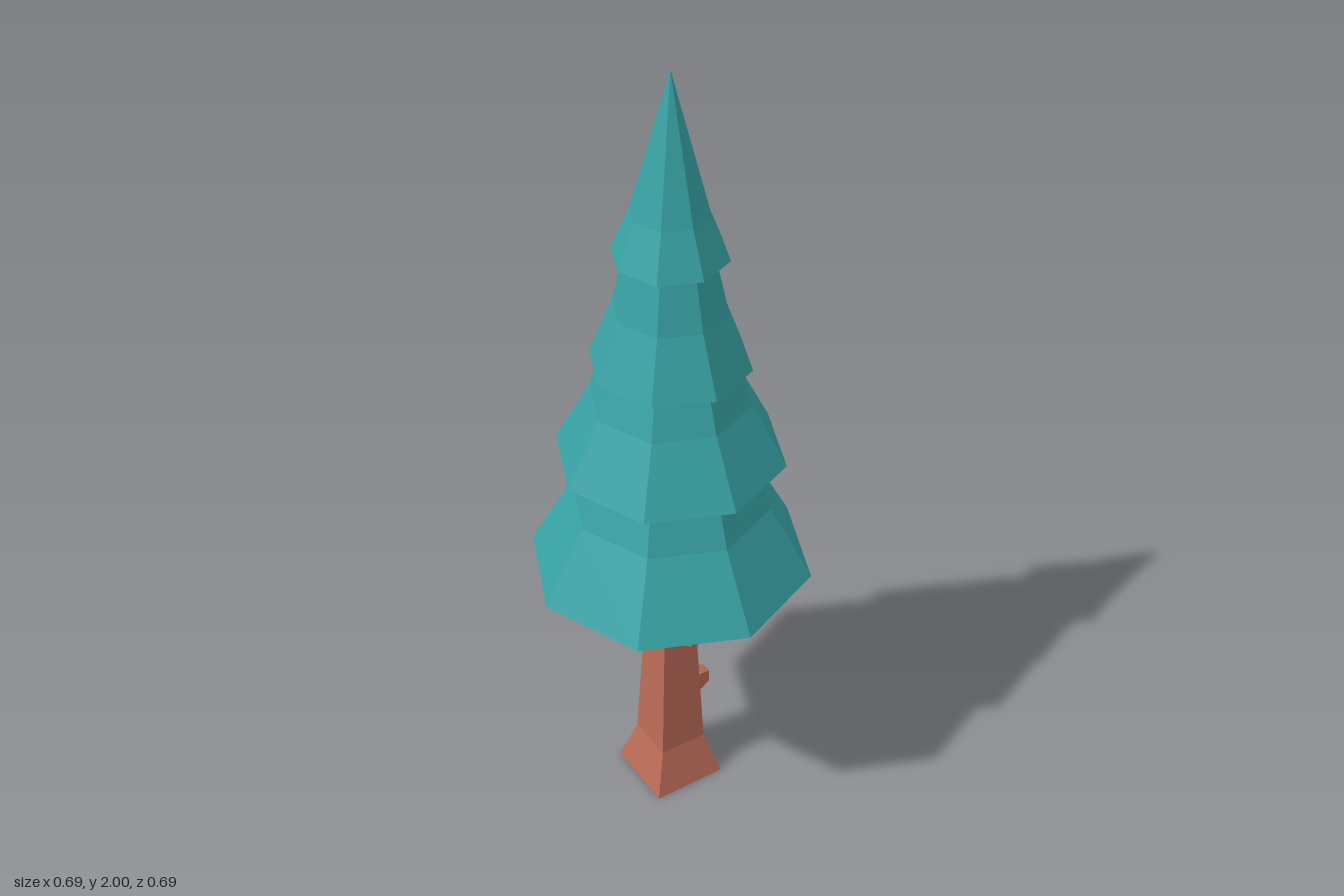
import * as THREE from 'three';

const leafMat = new THREE.MeshStandardMaterial({ color: 0x38a3a5, flatShading: true });
const barkMat = new THREE.MeshStandardMaterial({ color: 0xbc6c57, flatShading: true });

// Faceted solid of revolution from [radius, height] pairs, bottom to top
function faceted(name, profile, sides, phase, material) {
  const points = profile.map(([r, y]) => new THREE.Vector2(r, y));
  const mesh = new THREE.Mesh(new THREE.LatheGeometry(points, sides, phase), material);
  mesh.name = name;
  return mesh;
}

// Square-section solid; half-widths become corner radii
function square(name, profile) {
  return faceted(name, profile.map(([h, y]) => [h * Math.SQRT2, y]), 4, Math.PI / 4, barkMat);
}

export function createModel() {
  const tree = new THREE.Group();
  tree.name = 'pineTree';

  // Trunk with flared foot
  tree.add(square('trunk', [[0, 0], [0.095, 0], [0.062, 0.12], [0.036, 0.72], [0, 0.72]]));

  // Foliage tiers, each a flared skirt with a flat underside
  const tiers = [
    [[0.343, 0.71], [0.24, 0.9], [0.195, 1.04]],
    [[0.273, 1.03], [0.19, 1.19], [0.155, 1.3]],
    [[0.188, 1.285], [0.132, 1.43], [0.097, 1.58]],
    [[0.133, 1.563], [0.09, 1.67], [0, 2]],
  ];
  tiers.forEach((skirt, i) => {
    const top = skirt[skirt.length - 1];
    const profile = [[0, skirt[0][1]], ...skirt];
    if (top[0] > 0) profile.push([0, top[1]]);
    tree.add(faceted('foliageTier' + (i + 1), profile, 8, 0, leafMat));
  });

  // Cut branch stubs, tapering to a blunt end
  const stub = [[0, 0], [1, 0], [0.92, 0.065], [0.62, 0.09], [0, 0.09]];

  const frontStub = square('frontBranchStub', stub);
  frontStub.scale.set(0.022, 1, 0.021);
  frontStub.rotation.x = Math.PI / 2;
  frontStub.position.set(-0.003, 0.526, 0.032);

  const sideStub = square('leftBranchStub', stub);
  sideStub.scale.set(0.028, 1, 0.021);
  sideStub.rotation.z = -Math.PI / 2;
  sideStub.position.set(0.03, 0.247, -0.016);

  tree.add(frontStub, sideStub);
  return tree;
}
